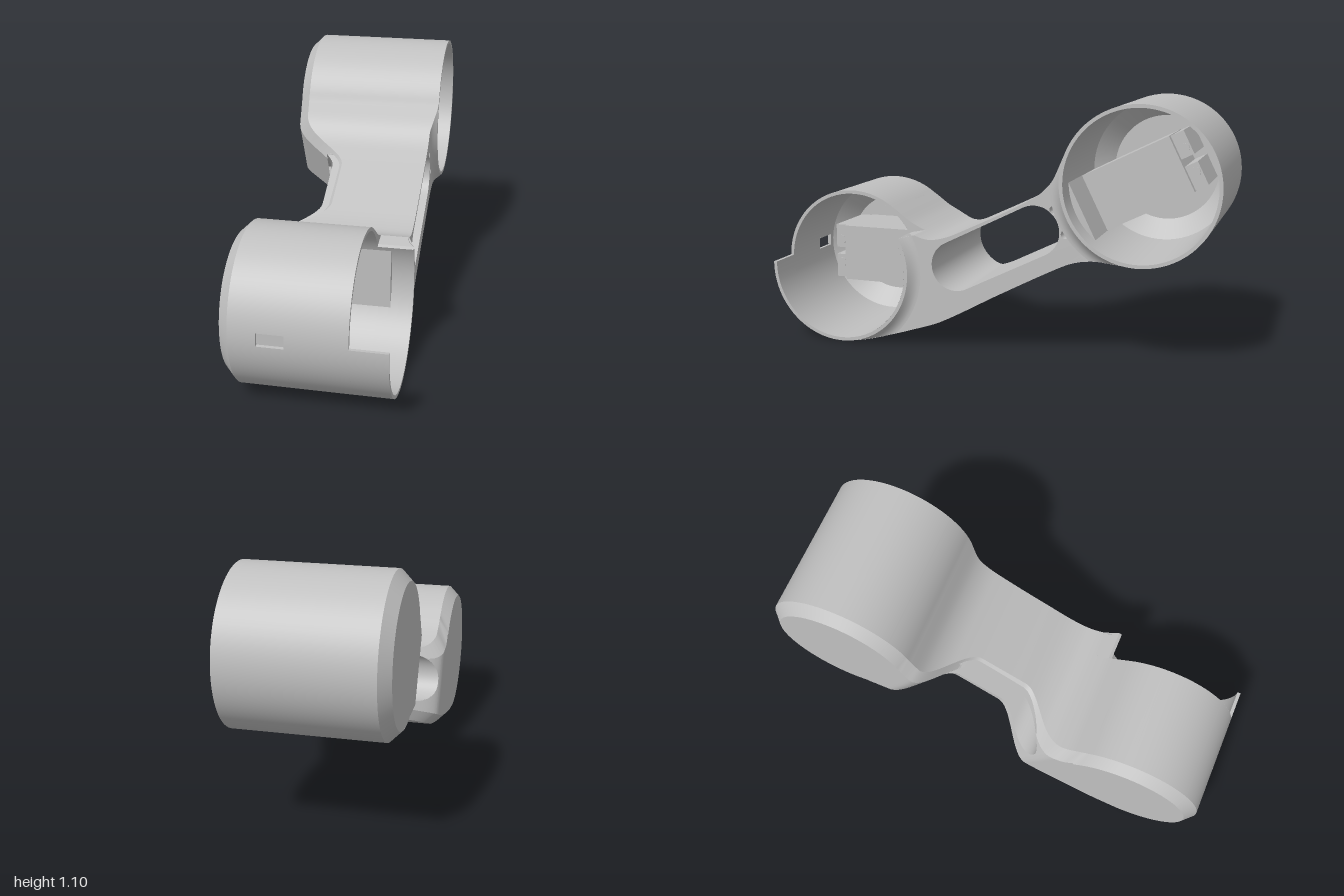
import * as THREE from 'three';

// Work frame of the link: X runs along the arm (u), Y across it (v), Z is world +x.
const K = Math.hypot(2, 1), E = [1 / K, -2 / K]; // arm direction as (y, z)
const toUV = (z, y) => [y * E[0] + z * E[1], -y * E[1] + z * E[0]];
const A = toUV(0.67, 0.33), B = toUV(-0.67, 0.766);
const R = 0.33, RIM = 0.315, CH = 0.045, FACE = 0.30, OPEN = 0.33;
const FLOOR = -0.28, FLOOR_R = 0.235, BEVEL = -0.20;  // bottom of the bore and its sloped edge
const LIP = 0.05, NOTCH = 0.18, N0 = 2, N1 = 151.7;   // fillet width, notch depth and angles
const PORT = { x0: -0.175, x1: -0.065, a0: 146.5, a1: 156 };
const BED = { x: 0.286, y: 0.13, top: 0.02, wall: 0.235 }; // motor bed
const SLOT = { v: 0.394, r: 0.109, u0: 0.055, u1: 0.451, end: 0.465 };
const rad = THREE.MathUtils.degToRad;
const range = (a, b, n) => Array.from({ length: n + 1 }, (_, i) => a + (b - a) * i / n);

// Smooth function through a few (u, v) points
function smooth(pts) {
  const slope = i => {
    const a = pts[Math.max(i - 1, 0)], b = pts[Math.min(i + 1, pts.length - 1)];
    return (b[1] - a[1]) / (b[0] - a[0]);
  };
  return u => {
    let i = 0;
    while (i < pts.length - 2 && u > pts[i + 1][0]) i++;
    const h = pts[i + 1][0] - pts[i][0], t = (u - pts[i][0]) / h, s = 1 - t;
    return pts[i][1] * s * s * (1 + 2 * t) + pts[i + 1][1] * t * t * (3 - 2 * t)
      + h * (slope(i) * t * s * s - slope(i + 1) * t * t * s);
  };
}
const onCircle = (c, u, sign) => c[1] + sign * Math.sqrt(Math.max(0, R * R - (u - c[0]) ** 2));
const hiMid = smooth([[-0.143, 0.718], [-0.1, 0.64], [-0.024, 0.556], [0.052, 0.527], [0.15, 0.519],
  [0.505, 0.52], [0.608, 0.548], [0.715, 0.625]]);
const loMid = smooth([[-0.58, 0.292], [-0.487, 0.259], [-0.397, 0.237], [-0.25, 0.213], [-0.115, 0.198],
  [0.189, 0.208], [0.459, 0.213], [0.548, 0.208], [0.628, 0.183], [0.744, 0.122]]);
const hi = u => u < -0.143 ? onCircle(A, u, 1) : u > 0.715 ? onCircle(B, u, 1) : hiMid(u);
const lo = u => u < -0.58 ? onCircle(A, u, -1) : u > 0.744 ? onCircle(B, u, -1) : loMid(u);

// Depth of the closed side: a valley in the middle of the arm
const depth = u => -0.125 - 0.205 * THREE.MathUtils.smoothstep(Math.abs(u - 0.277), 0.115, 0.37);
// Height of the open side: flat, rising in a fillet to the housings
function lip(u, v) {
  const d = Math.min(Math.hypot(u - A[0], v - A[1]), Math.hypot(u - B[0], v - B[1]));
  return FACE + (OPEN - FACE) * (1 - THREE.MathUtils.clamp((d - R) / LIP, 0, 1)) ** 2;
}

// Surface through rows of points
function sheet(rows) {
  const n = rows[0].length, idx = [];
  for (let j = 0; j < rows.length - 1; j++) {
    for (let i = 0; i < n - 1; i++) {
      const a = j * n + i, b = a + n;
      idx.push(a, a + 1, b, a + 1, b + 1, b);
    }
  }
  const g = new THREE.BufferGeometry();
  g.setAttribute('position', new THREE.Float32BufferAttribute(rows.flat(2), 3));
  g.setIndex(idx);
  g.computeVertexNormals();
  return g;
}

// Part of a tube or cone around the housing axis, angles in degrees
function arc(rOpen, rClosed, x0, x1, a0 = 0, a1 = 360) {
  const n = Math.max(4, Math.round((a1 - a0) / 5));
  return new THREE.CylinderGeometry(rOpen, rClosed, x1 - x0, n, 1, true, rad(a0 + 90), rad(a1 - a0))
    .rotateX(Math.PI / 2).translate(0, 0, (x0 + x1) / 2);
}
const ring = (r0, r1, x, a0 = 0, a1 = 360) =>
  new THREE.RingGeometry(r0, r1, 72, 1, rad(a0), rad(a1 - a0)).translate(0, 0, x);
const box = (x0, x1, y0, y1, z0, z1) => new THREE.BoxGeometry(x1 - x0, y1 - y0, z1 - z0)
  .translate((x0 + x1) / 2, (y0 + y1) / 2, (z0 + z1) / 2);

export function createModel() {
  const grey = new THREE.MeshStandardMaterial({ color: 0xc0c0c0, side: THREE.DoubleSide });
  grey.name = 'grey plastic';
  const model = new THREE.Group();
  model.name = 'jointLink';
  const link = new THREE.Group();
  link.name = 'link';
  link.quaternion.setFromRotationMatrix(new THREE.Matrix4().makeBasis(
    new THREE.Vector3(0, E[0], E[1]), new THREE.Vector3(0, -E[1], E[0]), new THREE.Vector3(1, 0, 0)));
  model.add(link);
  const add = (parent, name, ...geos) => geos.forEach(g => {
    const m = new THREE.Mesh(g, grey);
    m.name = name;
    parent.add(m);
  });

  // Housing: chamfered lid, thin-walled cup, motor bed, and fillet towards the arm
  function housing(name, c, bedAngle, filletFrom, filletTo) {
    const g = new THREE.Group();
    g.name = name;
    g.position.set(c[0], c[1], 0);
    link.add(g);
    add(g, 'lid', new THREE.CircleGeometry(R - CH, 72).rotateY(Math.PI).translate(0, 0, -OPEN),
      arc(R, R - CH, -OPEN, -OPEN + CH));
    add(g, 'boreFloor', new THREE.CircleGeometry(FLOOR_R, 72).translate(0, 0, FLOOR),
      arc(RIM, FLOOR_R, FLOOR, BEVEL));

    // Motor bed: raised block, screw tabs, and a wall across the bore on the arm side
    const bed = new THREE.Group();
    bed.name = 'motorBed';
    bed.rotation.z = rad(bedAngle);
    g.add(bed);
    add(bed, 'bedBlock', box(-0.13, BED.x, -BED.y, BED.y, FLOOR, BED.top));
    const half = Math.acos(BED.x / RIM);
    const segment = new THREE.Shape(range(-half, half, 12)
      .map(a => new THREE.Vector2(RIM * Math.cos(a), RIM * Math.sin(a))));
    add(bed, 'bedEndWall', new THREE.ExtrudeGeometry(segment, { depth: BED.wall - BEVEL, bevelEnabled: false })
      .translate(0, 0, BEVEL));
    for (const s of [-1, 1]) {
      add(bed, 'screwTab', box(-0.19, -0.13, s * 0.072 - 0.055, s * 0.072 + 0.055, FLOOR, BED.top - 0.03));
      add(bed, 'screw', new THREE.CylinderGeometry(0.022, 0.022, 0.008, 20).rotateX(Math.PI / 2)
        .translate(-0.163, s * 0.055, BED.top - 0.028));
    }

    const spokes = range(rad(filletFrom), rad(filletTo), 60).map(a => {
      const at = r => [c[0] + r * Math.cos(a), c[1] + r * Math.sin(a)];
      const inside = ([u, v]) => v < hi(u) && v > lo(u);
      let end = R;
      while (end < R + LIP && inside(at(end + 0.001))) end += 0.001;
      return range(R, end, 5).map(r => [r * Math.cos(a), r * Math.sin(a), lip(...at(r))]);
    });
    add(g, 'fillet', sheet(spokes));
    return g;
  }

  // Upper housing, fully round
  const upper = housing('upperHousing', B, 180, 133, 233);
  add(upper, 'shell', arc(R, R, -OPEN + CH, OPEN));
  add(upper, 'bore', arc(RIM, RIM, BEVEL, OPEN));
  add(upper, 'rim', ring(RIM, R, OPEN));

  // Lower housing with a large notch and a small port through the front
  const lower = housing('lowerHousing', A, -26.6, -113, N0);
  for (const [name, r, start] of [['shell', R, -OPEN + CH], ['bore', RIM, BEVEL]]) {
    add(lower, name, arc(r, r, start, PORT.x0), arc(r, r, PORT.x1, NOTCH),
      arc(r, r, PORT.x0, PORT.x1, PORT.a1, 360 + PORT.a0), arc(r, r, NOTCH, OPEN, N1, 360 + N0));
  }
  add(lower, 'rim', ring(RIM, R, OPEN, N1, 360 + N0), ring(RIM, R, NOTCH, N0, N1));
  const radialEdge = (a, x0, x1) =>
    sheet([[[RIM, 0, x0], [RIM, 0, x1]], [[R, 0, x0], [R, 0, x1]]]).rotateZ(rad(a));
  add(lower, 'notchEdge', radialEdge(N0, NOTCH, OPEN), radialEdge(N1, NOTCH, OPEN));
  add(lower, 'portEdge', radialEdge(PORT.a0, PORT.x0, PORT.x1), radialEdge(PORT.a1, PORT.x0, PORT.x1),
    ring(RIM, R, PORT.x0, PORT.a0, PORT.a1), ring(RIM, R, PORT.x1, PORT.a0, PORT.a1));

  // Arm: outer walls, chamfers and closed side, swept along u
  const us = [...range(-0.58, 0.84, 120), SLOT.end - 1e-4, SLOT.end + 1e-4, -0.0601, -0.0599,
    ...range(SLOT.u0 - SLOT.r, SLOT.u0 - SLOT.r + 0.01, 4)].sort((a, b) => a - b);
  const slotHalf = u => {
    if (u > SLOT.end) return 0;
    const d = Math.max(0, SLOT.u0 - u, u - SLOT.u1);
    return Math.sqrt(Math.max(0, SLOT.r ** 2 - d * d));
  };
  const arm = new THREE.Group();
  arm.name = 'arm';
  link.add(arm);
  for (const s of [-1, 1]) {
    const edge = s > 0 ? hi : lo;
    const rows = us.map(u => {
      const v = edge(u), f = depth(u), inner = SLOT.v + s * slotHalf(u);
      const k = (edge(u + 1e-3) - edge(u - 1e-3)) / 2e-3;
      const full = CH * Math.sqrt(1 + Math.min(k * k, 9));
      const c = Math.min(full, Math.abs(v - inner));
      const open = s > 0 && u < -0.06 ? NOTCH : lip(u, v);
      return [[u, v, open], [u, v, f + CH], [u, v - s * c, f + CH * (1 - c / full)], [u, inner, f]];
    });
    // the closed side is only needed between the two lids
    ['wall', 'chamfer', 'closedSide'].forEach((name, j) =>
      add(arm, s > 0 ? name + 'Upper' : name + 'Lower', sheet([rows.map(r => r[j]), rows.map(r => r[j + 1])])));
  }

  // Flat open-side face with the slot and two screw holes
  const V = (u, v) => new THREE.Vector2(u, v);
  const around = (c, a0, a1) => range(rad(a0), rad(a1), 30)
    .map(a => V(c[0] + R * Math.cos(a), c[1] + R * Math.sin(a)));
  const face = new THREE.Shape([
    ...range(-0.06, 0.7, 40).map(u => V(u, hi(u))), ...around(B, 133, 233),
    ...range(0.73, -0.56, 50).map(u => V(u, lo(u))), ...around(A, -110, N0)]);
  const side = s => range(SLOT.u0, SLOT.u1, 30).map(u => V(u, SLOT.v + s * SLOT.r));
  const bend = (u, a) => range(a, a + Math.PI, 24)
    .map(t => V(u + SLOT.r * Math.cos(t), SLOT.v + SLOT.r * Math.sin(t)));
  const slotLoop = [...bend(SLOT.u0, Math.PI / 2), ...side(-1).slice(1, -1),
    ...bend(SLOT.u1, -Math.PI / 2), ...side(1).slice(1, -1).reverse()];
  face.holes.push(new THREE.Path(slotLoop));
  for (const v of [0.33, 0.441]) {
    const u = 0.568, hole = new THREE.Path();
    hole.absarc(u, v, 0.018, 0, Math.PI * 2, false);
    face.holes.push(hole);
    add(arm, 'screwHole', arc(0.018, 0.018, 0.2, FACE).translate(u, v, 0));
  }
  add(arm, 'openFace', new THREE.ShapeGeometry(face, 20).translate(0, 0, FACE));

  // Slot wall, with a closed pocket bottom at the upper end
  const loop = [...slotLoop, slotLoop[0]];
  add(arm, 'slotWall', sheet([loop.map(p => [p.x, p.y, FACE]),
    loop.map(p => [p.x, p.y, p.x < SLOT.end ? depth(p.x) : -0.15])]));
  add(arm, 'slotEnd', new THREE.CircleGeometry(SLOT.r, 24, -Math.PI / 2, Math.PI)
    .translate(SLOT.u1 + 0.004, SLOT.v, -0.15));

  // Faces that close the arm beside the notch
  const tip = around(A, N0, N0 + 1)[0];
  const ledge = [tip, ...range(-0.06, -0.143, 6).map(u => V(u, hi(u)))];
  add(arm, 'notchLedge', new THREE.ShapeGeometry(new THREE.Shape(ledge)).translate(0, 0, NOTCH));
  add(arm, 'notchStep', sheet([[[tip.x, tip.y, NOTCH], [tip.x, tip.y, OPEN]],
    [[-0.06, hi(-0.06), NOTCH], [-0.06, hi(-0.06), FACE]]]));
  return model;
}
